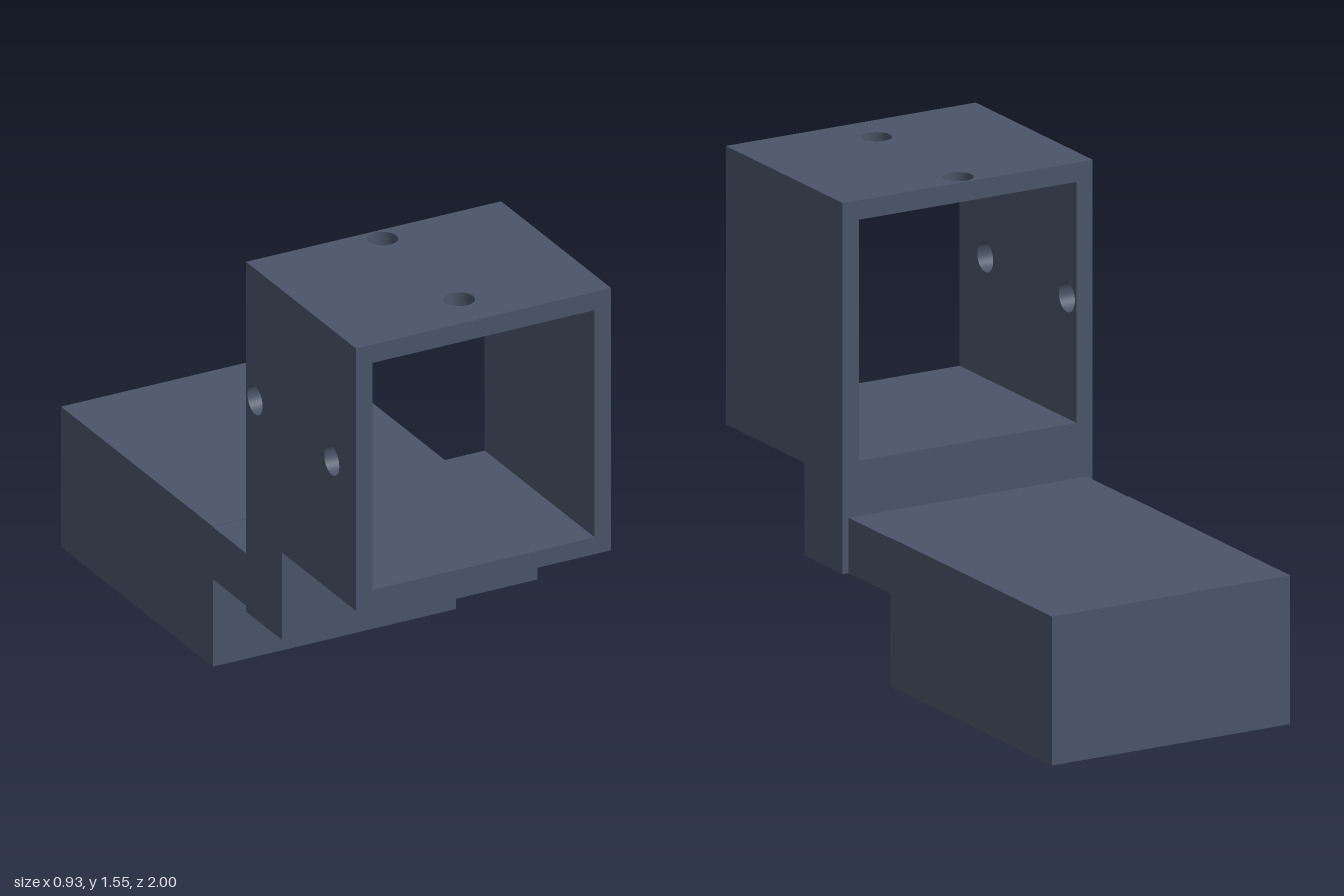
import * as THREE from 'three';

const slate = new THREE.MeshStandardMaterial({ color: 0x4a5568 });
slate.name = 'slate';

// Rectangular plate in XY with round holes [x, y], thickness along +z
function plate(x0, x1, y0, y1, depth, holes = [], r = 0.05) {
  const s = new THREE.Shape();
  s.moveTo(x0, y0);
  s.lineTo(x1, y0);
  s.lineTo(x1, y1);
  s.lineTo(x0, y1);
  s.closePath();
  for (const [x, y] of holes) {
    s.holes.push(new THREE.Path().absarc(x, y, r, 0, Math.PI * 2, true));
  }
  return new THREE.ExtrudeGeometry(s, { depth, bevelEnabled: false, curveSegments: 24 });
}

// Side profile of [z, y] points, extruded symmetrically across x
function profile(points, halfWidth) {
  const s = new THREE.Shape(points.map(([z, y]) => new THREE.Vector2(z, y)));
  return new THREE.ExtrudeGeometry(s, { depth: 2 * halfWidth, bevelEnabled: false })
    .rotateY(-Math.PI / 2).translate(halfWidth, 0, 0);
}

export function createModel() {
  const model = new THREE.Group();
  model.name = 'mountingBracket';
  const add = (name, geometry, parent) => {
    const mesh = new THREE.Mesh(geometry, slate);
    mesh.name = name;
    parent.add(mesh);
  };

  // Square open sleeve at the front
  const W = 0.465, IN = 0.405, Z0 = 0.27, Z1 = 1;
  const FLOOR = 0.68, CEIL = 1.485, TOP = 1.55;
  const screwZ = [0.33, 0.84];
  const sleeve = new THREE.Group();
  sleeve.name = 'sleeve';
  model.add(sleeve);

  add('sleeveTop',
    plate(-W, W, -Z1, -Z0, TOP - CEIL, screwZ.map(z => [0, -z]))
      .rotateX(-Math.PI / 2).translate(0, CEIL, 0), sleeve);
  // Only the -x wall carries screw holes
  add('drilledWall',
    plate(Z0, Z1, FLOOR, CEIL, W - IN, screwZ.map(z => [z, 1.085]))
      .rotateY(-Math.PI / 2).translate(-IN, 0, 0), sleeve);
  add('plainWall',
    plate(Z0, Z1, FLOOR, CEIL, W - IN).rotateY(-Math.PI / 2).translate(W, 0, 0), sleeve);
  // Floor with the lug that hangs below its rear edge
  add('sleeveFloorAndLug',
    profile([[Z0, 0.31], [0.51, 0.31], [0.51, 0.62], [Z1, 0.62], [Z1, FLOOR], [Z0, FLOOR]], W), sleeve);

  // Base block behind, joined to the lug by a thinner neck
  const base = new THREE.Group();
  base.name = 'base';
  model.add(base);
  const B = 0.443, BZ = 0.01, SPLIT = 0.22;
  add('baseBlockAndNeck',
    profile([[-1, SPLIT], [BZ, SPLIT], [BZ, 0.31], [Z0, 0.31], [Z0, 0.495], [BZ, 0.495], [BZ, 0.497], [-1, 0.497]], B), base);
  // Underside with four blind screw holes
  const feet = [[0.367, -0.896], [-0.337, -0.677], [0.367, -0.132], [-0.168, -0.132]];
  add('drilledUnderside',
    plate(-B, B, -BZ, 1, SPLIT, feet.map(([x, z]) => [x, -z]), 0.056)
      .rotateX(-Math.PI / 2), base);

  return model;
}
